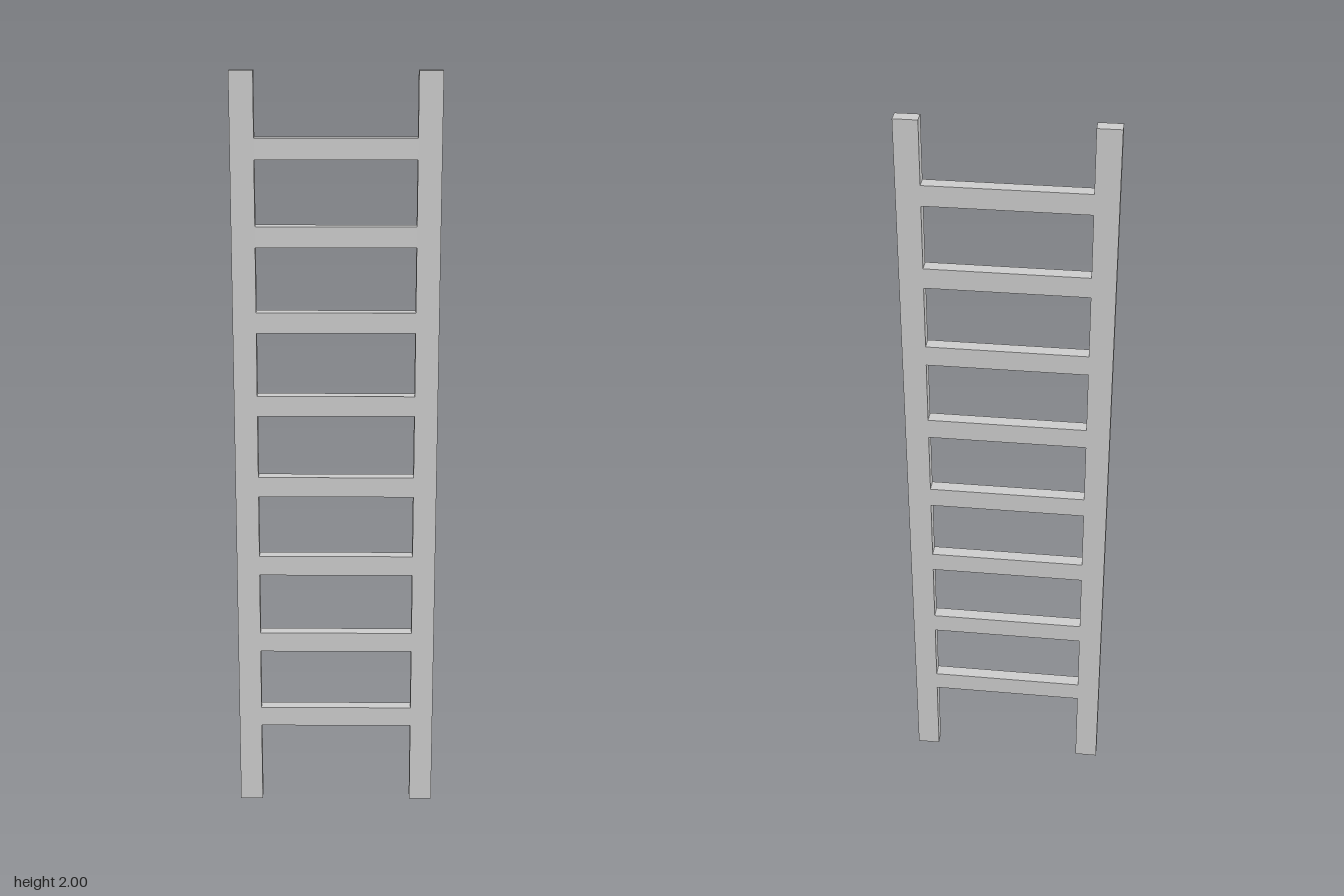
import * as THREE from 'three';

export function createModel() {
  const model = new THREE.Group();
  model.name = 'ladder';
  const material = new THREE.MeshStandardMaterial({ color: 0xcccccc, flatShading: true });

  const halfWidth = 0.267, railWidth = 0.061, height = 2, depth = 0.035;
  const innerWidth = 2 * (halfWidth - railWidth);

  const addBar = (name, geometry, x, y) => {
    const bar = new THREE.Mesh(geometry, material);
    bar.name = name;
    bar.position.set(x, y, 0);
    model.add(bar);
  };

  // Side rails
  const railGeometry = new THREE.BoxGeometry(railWidth, height, depth);
  const railX = halfWidth - railWidth / 2;
  addBar('leftRail', railGeometry, railX, height / 2);
  addBar('rightRail', railGeometry, -railX, height / 2);

  // Eight evenly spaced rungs, flush with the rails
  const rungGeometry = new THREE.BoxGeometry(innerWidth, 0.054, depth);
  for (let i = 0; i < 8; i++) {
    addBar(`rung${i + 1}`, rungGeometry, 0, 0.252 + i * 0.2223);
  }

  return model;
}
